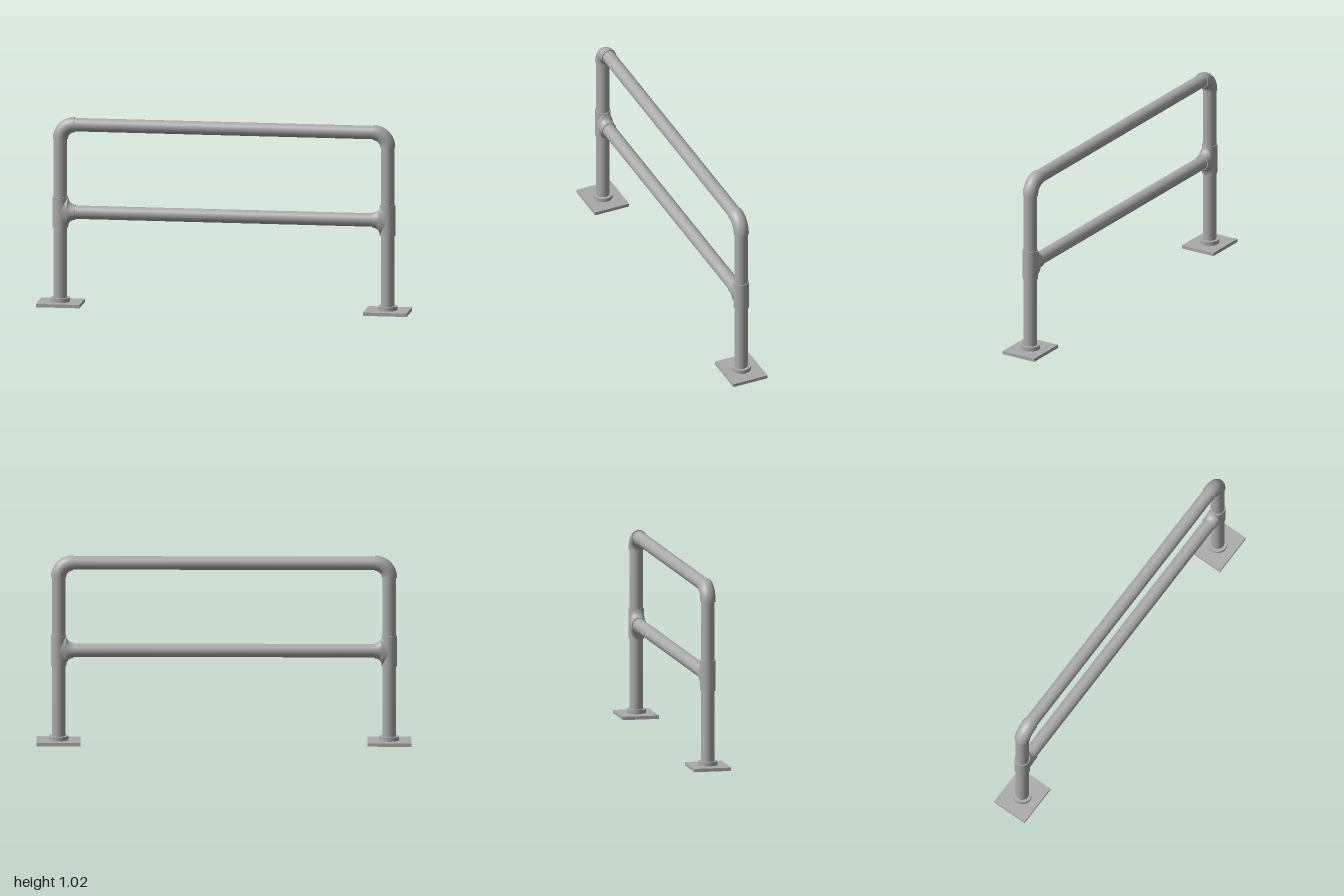
import * as THREE from 'three';

const POST_X = 0.8825, PIPE = 0.036, FIT = 0.041; // post position, pipe and fitting radii
const TOP_Y = 0.977, MID_Y = 0.503, BEND = 0.077;
const SIDES = 48;

export function createModel() {
  const model = new THREE.Group();
  model.name = 'guardRail';
  const steel = new THREE.MeshStandardMaterial({ color: 0xaaaaaa });
  steel.name = 'galvanised steel grey';

  const add = (parent, name, geometry, x = 0, y = 0) => {
    const mesh = new THREE.Mesh(geometry, steel);
    mesh.name = name;
    mesh.position.set(x, y, 0);
    parent.add(mesh);
    return mesh;
  };
  // Upright cylinder between two heights
  const upright = (parent, name, r, y0, y1) =>
    add(parent, name, new THREE.CylinderGeometry(r, r, y1 - y0, SIDES), POST_X, (y0 + y1) / 2);

  // Horizontal rails
  for (const [name, y] of [['topRail', TOP_Y], ['middleRail', MID_Y]]) {
    const rail = new THREE.CylinderGeometry(PIPE, PIPE, 1.63, SIDES).rotateZ(Math.PI / 2);
    add(model, name, rail, 0, y);
  }

  // Both ends are alike, turned half a circle
  for (const side of ['left', 'right']) {
    const end = new THREE.Group();
    end.name = side + 'End';
    if (side === 'right') end.rotation.y = Math.PI;
    model.add(end);

    // Foot and post
    add(end, 'basePlate', new THREE.BoxGeometry(0.235, 0.018, 0.2), POST_X, 0.009);
    upright(end, 'baseCollar', 0.052, 0.018, 0.04);
    upright(end, 'post', PIPE, 0.018, 0.91);

    // Corner elbow with closed rims
    const bendX = POST_X - BEND, bendY = TOP_Y - BEND;
    add(end, 'elbow', new THREE.TorusGeometry(BEND, FIT, SIDES, 24, Math.PI / 2), bendX, bendY);
    add(end, 'elbowLowerRim', new THREE.CircleGeometry(FIT, SIDES).rotateX(Math.PI / 2), POST_X, bendY);
    add(end, 'elbowInnerRim', new THREE.CircleGeometry(FIT, SIDES).rotateY(-Math.PI / 2), bendX, TOP_Y);

    // Tee sleeve and its flared branch
    upright(end, 'teeSleeve', FIT, 0.42, 0.585);
    add(end, 'teeBranch', flaredBranch(), 0, MID_Y);
  }
  return model;
}

// Round at the rail, swept up and down along a fillet into the sleeve
function flaredBranch() {
  const fillet = 0.039, steps = 10;
  const start = POST_X - FIT - fillet;
  const geo = new THREE.CylinderGeometry(1, 1, 1, SIDES, steps + 1)
    .rotateZ(-Math.PI / 2).translate(0.5, 0, 0);
  const p = geo.attributes.position;
  for (let i = 0; i < p.count; i++) {
    const u = p.getX(i);
    const a = Math.min(1, u * (steps + 1) / steps) * Math.PI / 2;
    const x = u > 0.99 ? POST_X : start + fillet * Math.sin(a);
    const h = FIT + fillet * (1 - Math.cos(a));
    p.setXYZ(i, x, p.getY(i) * h, p.getZ(i) * FIT);
  }
  geo.computeVertexNormals();
  return geo;
}
